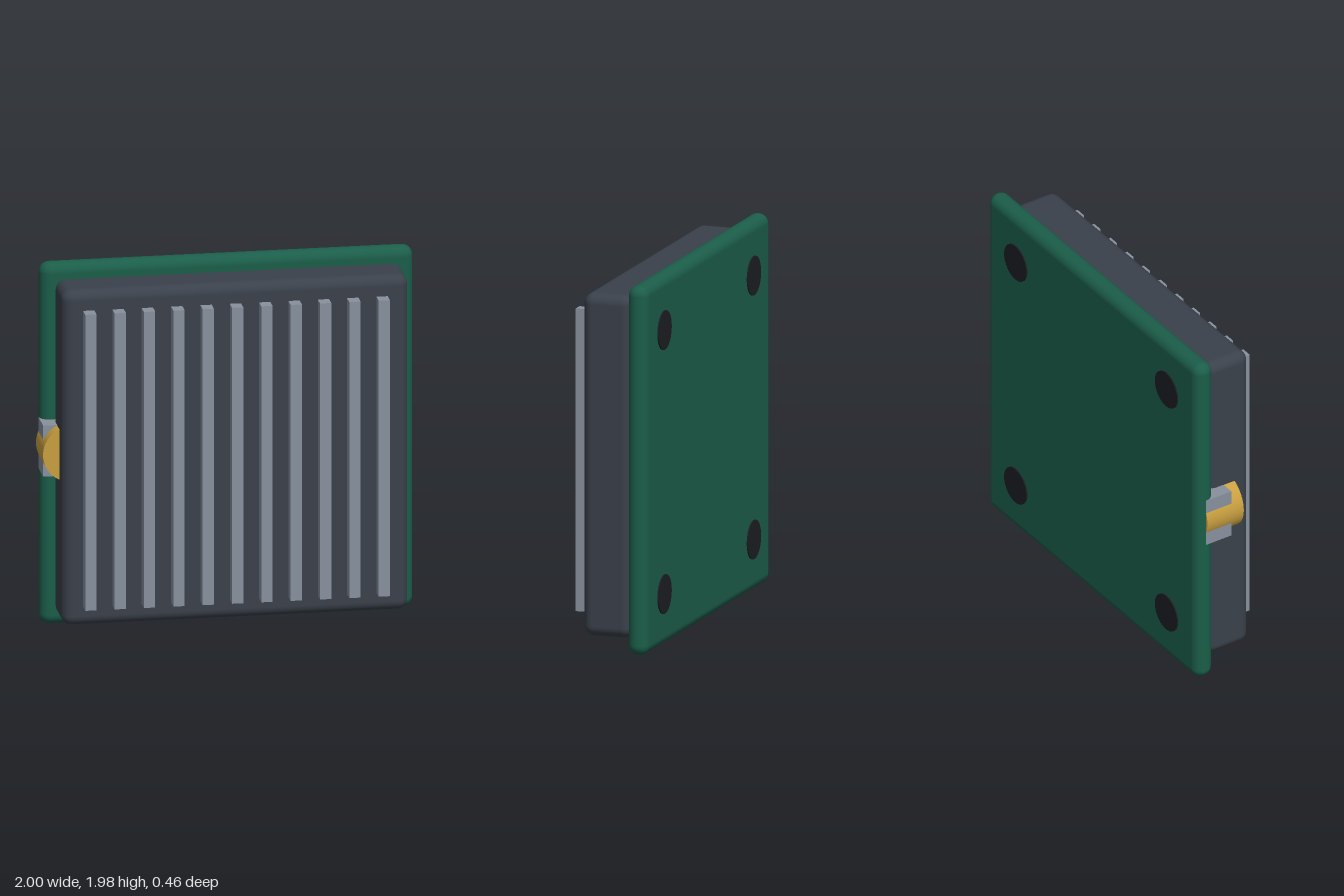
import * as THREE from 'three';
import { RoundedBoxGeometry } from 'three/addons/geometries/RoundedBoxGeometry.js';

const paint = (color) => new THREE.MeshStandardMaterial({ color });

export function createModel() {
  const group = new THREE.Group();
  const green = paint(0x1b5e49);
  const slate = paint(0x3a414b);
  const steel = paint(0x88919e);
  const brass = paint(0xc9a040);
  const rubber = paint(0x1c1e23);
  const midX = 0.0075;
  const midY = 0.998;

  function add(name, geometry, material, x, y, z) {
    const mesh = new THREE.Mesh(geometry, material);
    mesh.name = name;
    mesh.position.set(x, y, z);
    group.add(mesh);
    return mesh;
  }

  // Back plate with fully rounded rim, and the thick housing in front of it
  add('backPlate', new RoundedBoxGeometry(1.985, 1.984, 0.112, 5, 0.055), green, midX, midY, -0.169);
  add('housing', new RoundedBoxGeometry(1.84, 1.84, 0.27, 5, 0.055), slate, midX, midY, 0.023);

  // Row of vertical cooling fins
  const finGeometry = new THREE.BoxGeometry(0.06, 1.626, 0.12);
  for (let i = 0; i < 11; i++) {
    add('coolingFin', finGeometry, steel, midX + (i - 5) * 0.156, midY, 0.17);
  }

  // Side connector: steel block with a brass barrel through it
  add('connectorBlock', new THREE.BoxGeometry(0.28, 0.28, 0.16), steel, -0.847, midY, -0.09);
  const barrel = add('connectorBarrel', new THREE.CylinderGeometry(0.154, 0.154, 0.23, 32), brass, -0.846, midY, -0.055);
  barrel.rotation.x = Math.PI / 2;

  // Four round pads on the back
  const padGeometry = new THREE.CylinderGeometry(0.105, 0.105, 0.05, 32);
  for (const sx of [-1, 1]) {
    for (const sy of [-1, 1]) {
      const pad = add('backPad', padGeometry, rubber, midX + sx * 0.709, midY + sy * 0.709, -0.207);
      pad.rotation.x = Math.PI / 2;
    }
  }

  return group;
}
